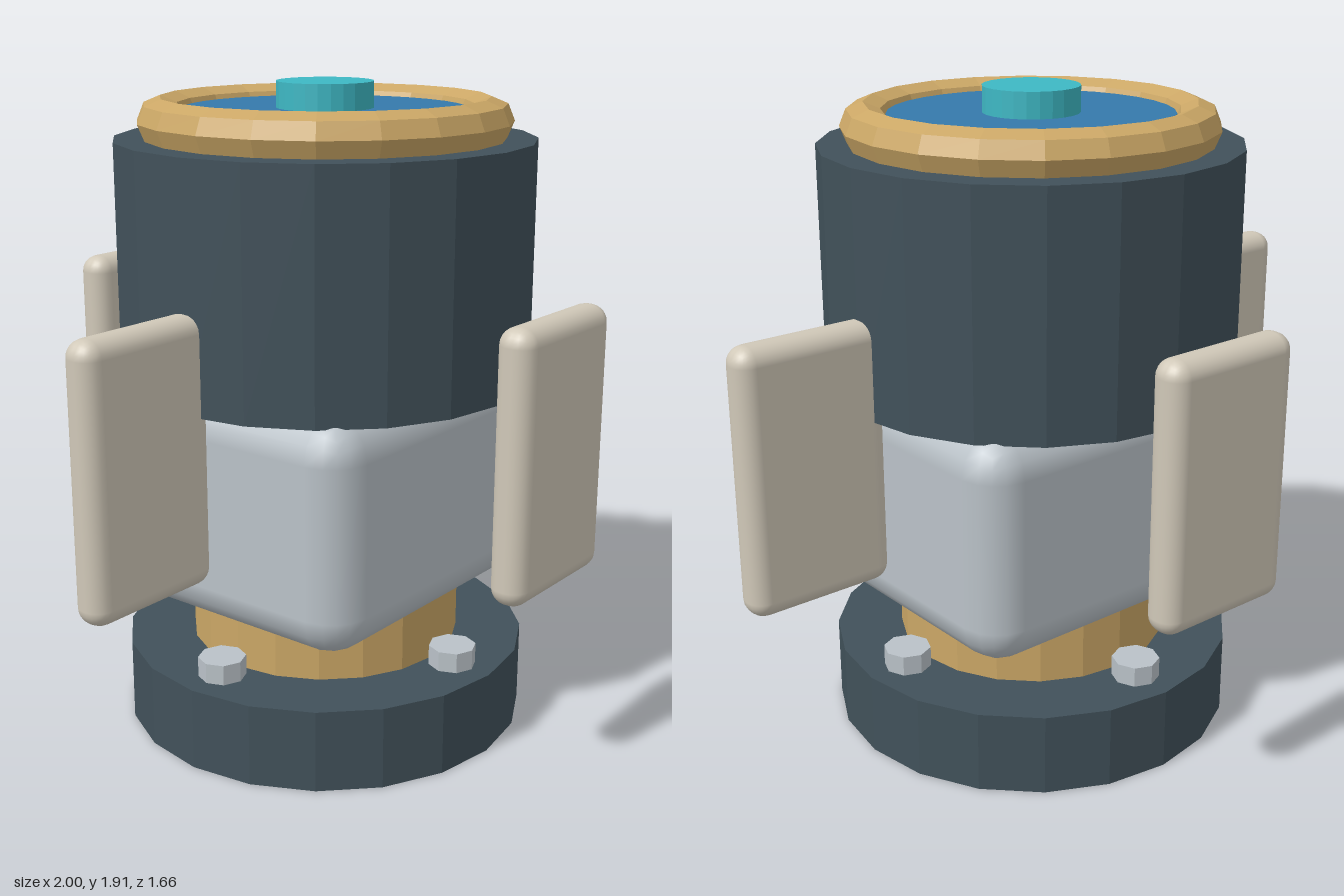
import * as THREE from 'three';
import { RoundedBoxGeometry } from 'three/addons/geometries/RoundedBoxGeometry.js';
import { toCreasedNormals } from 'three/addons/utils/BufferGeometryUtils.js';

const SIDES = 20;

function material(name, color) {
  const m = new THREE.MeshStandardMaterial({ color });
  m.name = name;
  return m;
}

export function createModel() {
  const group = new THREE.Group();
  const slate = material('dark slate', 0x41515a);
  const brass = material('brass', 0xcba766);
  const steel = material('pale steel', 0xbac2c8);
  const ivory = material('ivory', 0xd0c8b8);
  const blue = material('blue', 0x3579ab);
  const cyan = material('cyan', 0x3eb8c4);

  function add(name, geometry, mat, x = 0, y = 0, z = 0) {
    const mesh = new THREE.Mesh(geometry, mat);
    mesh.name = name;
    mesh.position.set(x, y, z);
    group.add(mesh);
    return mesh;
  }

  // Faceted upright cylinder between two heights
  function drum(name, radius, bottom, top, mat, x = 0, z = 0, sides = SIDES) {
    const g = toCreasedNormals(
      new THREE.CylinderGeometry(radius, radius, top - bottom, sides), 0.1);
    return add(name, g, mat, x, (bottom + top) / 2, z);
  }

  // Base and neck
  drum('base', 0.61, 0, 0.245, slate);
  drum('neck', 0.41, 0.24, 0.55, brass);

  // Rounded body block
  add('body', new RoundedBoxGeometry(1.06, 0.68, 0.94, 2, 0.12), steel, 0, 0.75, 0);

  // Upper housing, lens and button
  drum('housing', 0.61, 1.063, 1.757, slate);
  drum('lens', 0.41, 1.74, 1.84, blue, 0, 0, 32);
  drum('button', 0.14, 1.83, 1.915, cyan, 0, 0, 24);

  // Brass rim around the lens
  const rim = toCreasedNormals(new THREE.TorusGeometry(0.473, 0.068, 8, SIDES), 0.1);
  rim.rotateX(-Math.PI / 2);
  add('rim', rim, brass, 0, 1.805, 0);

  // Bolts on the base and panels around the body, one per direction
  const panel = new RoundedBoxGeometry(0.445, 0.77, 0.11, 3, 0.05);
  for (const [side, x, z] of [['Left', 1, 0], ['Right', -1, 0], ['Front', 0, 1], ['Back', 0, -1]]) {
    drum('bolt' + side, 0.07, 0.24, 0.305, steel, x * 0.48, z * 0.48, 8);
    add('panel' + side, panel, ivory, x * 0.777, 0.96, z * 0.777);
  }

  return group;
}
